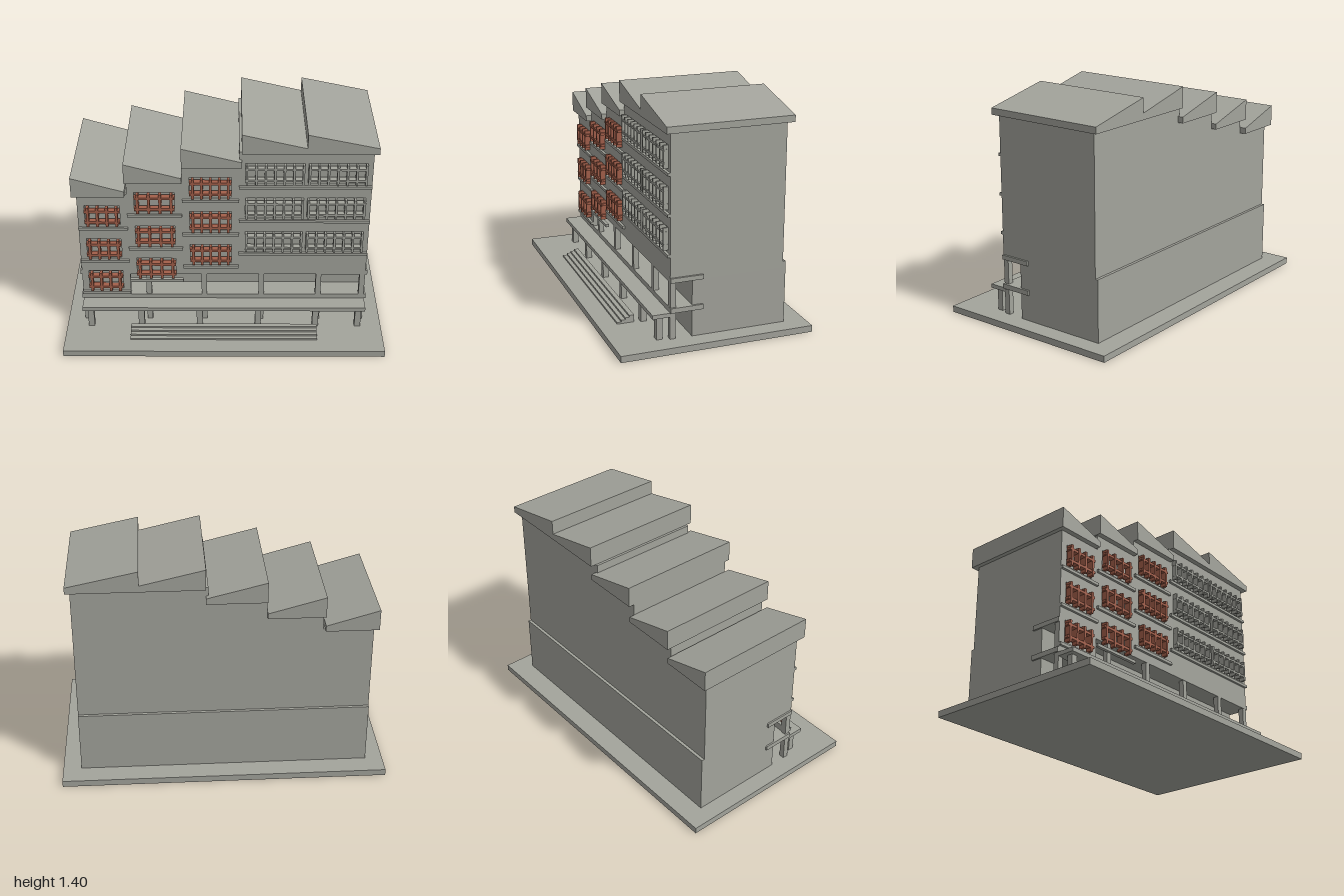
import * as THREE from 'three';

export function createModel() {
  const model = new THREE.Group();
  const concrete = new THREE.MeshStandardMaterial({ color: 0xa3a49c });
  concrete.name = 'concrete grey';
  const brick = new THREE.MeshStandardMaterial({ color: 0xa35f4a });
  brick.name = 'brick red';

  // Box given by its min and max on each axis
  function box(name, x0, x1, y0, y1, z0, z1, mat = concrete, parent = model) {
    const m = new THREE.Mesh(new THREE.BoxGeometry(x1 - x0, y1 - y0, z1 - z0), mat);
    m.position.set((x0 + x1) / 2, (y0 + y1) / 2, (z0 + z1) / 2);
    m.name = name;
    parent.add(m);
  }

  const rect = (S, x0, x1, y0, y1) => new S([
    new THREE.Vector2(x0, y0), new THREE.Vector2(x1, y0),
    new THREE.Vector2(x1, y1), new THREE.Vector2(x0, y1)]);

  function extrude(name, shape, z0, z1) {
    const m = new THREE.Mesh(
      new THREE.ExtrudeGeometry(shape, { depth: z1 - z0, bevelEnabled: false }), concrete);
    m.position.z = z0;
    m.name = name;
    model.add(m);
  }

  // Sunscreen of upright fins and two rails
  function grille(x0, x1, y0, y1, fins, mat) {
    const g = new THREE.Group();
    g.name = 'windowGrille';
    model.add(g);
    const w = mat === brick ? 0.016 : 0.013;
    const pad = mat === brick ? 0.02 : 0.008;
    for (let i = 0; i < fins; i++) {
      const x = x0 + pad + (x1 - x0 - 2 * pad) * i / (fins - 1);
      box('fin', x - w / 2, x + w / 2, y0, y1, 0.25, 0.29, mat, g);
    }
    for (const t of [0.22, 0.78]) {
      const y = y0 + (y1 - y0) * t;
      box('rail', x0, x1, y - w / 2, y + w / 2, 0.25, 0.288, mat, g);
    }
  }

  // Ground slab, ground floor and rear plinth
  box('groundSlab', -1, 1, 0, 0.04, -0.595, 0.595);
  box('groundFloor', -0.893, 0.888, 0.04, 0.39, -0.445, 0.125);
  box('rearPlinth', -0.893, 0.888, 0.04, 0.425, -0.463, -0.44);

  // Stepped upper storeys: x range, wall foot, top, lowest sill, window bays, fins
  const sections = [
    { x0: -0.893, x1: -0.59, foot: 0.235, top: 0.975, sill: 0.245, bays: [[-0.85, -0.635]], fins: 4, mat: brick },
    { x0: -0.59, x1: -0.255, foot: 0.39, top: 1.07, sill: 0.34, bays: [[-0.545, -0.3]], fins: 4, mat: brick },
    { x0: -0.255, x1: 0.09, foot: 0.39, top: 1.177, sill: 0.445, bays: [[-0.21, 0.045]], fins: 5, mat: brick },
    { x0: 0.09, x1: 0.888, foot: 0.39, top: 1.27, sill: 0.542, bays: [[0.128, 0.482], [0.502, 0.856]], fins: 7, mat: concrete },
  ];
  for (const s of sections) {
    box('upperStoreys', s.x0, s.x1, 0.39, s.top, -0.445, 0.23);
    const wall = rect(THREE.Shape, s.x0, s.x1, s.foot, s.top);
    for (let floor = 0; floor < 3; floor++) {
      const y = s.sill + floor * 0.24;
      box('windowLedge', s.x0, s.x1, y, y + 0.018, 0.255, 0.276);
      for (const [a, b] of s.bays) {
        wall.holes.push(rect(THREE.Path, a, b, Math.max(y + 0.035, s.foot + 0.01), y + 0.17));
        grille(a, b, y + 0.035, y + 0.17, s.fins, s.mat);
      }
    }
    extrude('frontWall', wall, 0.23, 0.26);
  }

  // Sawtooth roofs: left, right, underside, high edge, low edge
  for (const [l, r, y, hi, lo] of [
    [-0.92, -0.6, 0.975, 1.105, 1.012],
    [-0.6, -0.255, 1.07, 1.2, 1.105],
    [-0.255, 0.105, 1.177, 1.306, 1.215],
    [0.105, 0.49, 1.27, 1.4, 1.31],
    [0.49, 0.915, 1.27, 1.4, 1.31],
  ]) {
    const shape = new THREE.Shape([
      new THREE.Vector2(l, y), new THREE.Vector2(r, y),
      new THREE.Vector2(r, lo), new THREE.Vector2(l, hi)]);
    extrude('sawtoothRoof', shape, -0.48, 0.293);
  }

  // Gallery slab, upper slab ends and front canopy
  box('gallerySlab', -0.903, 0.9, 0.205, 0.235, 0.06, 0.26);
  box('upperSlabEnd', -0.903, -0.88, 0.39, 0.418, 0.06, 0.26);
  box('upperSlabEnd', 0.88, 0.9, 0.39, 0.418, 0.06, 0.26);
  box('canopy', -0.893, 0.89, 0.18, 0.205, 0.25, 0.367);

  // Two rows of columns
  for (const x of [-0.876, -0.475, -0.125, 0.235, 0.595, 0.87]) {
    box('galleryColumn', x - 0.017, x + 0.017, 0.04, 0.39, 0.225, 0.259);
  }
  for (const x of [-0.845, -0.525, -0.155, 0.215, 0.58, 0.85]) {
    box('canopyColumn', x - 0.019, x + 0.019, 0.04, 0.18, 0.3, 0.336);
  }

  // Entrance steps
  for (let i = 0; i < 4; i++) {
    box('step', -0.588, 0.585, 0.04, 0.085 - i * 0.0115, 0.373, 0.402 + i * 0.026);
  }
  return model;
}
